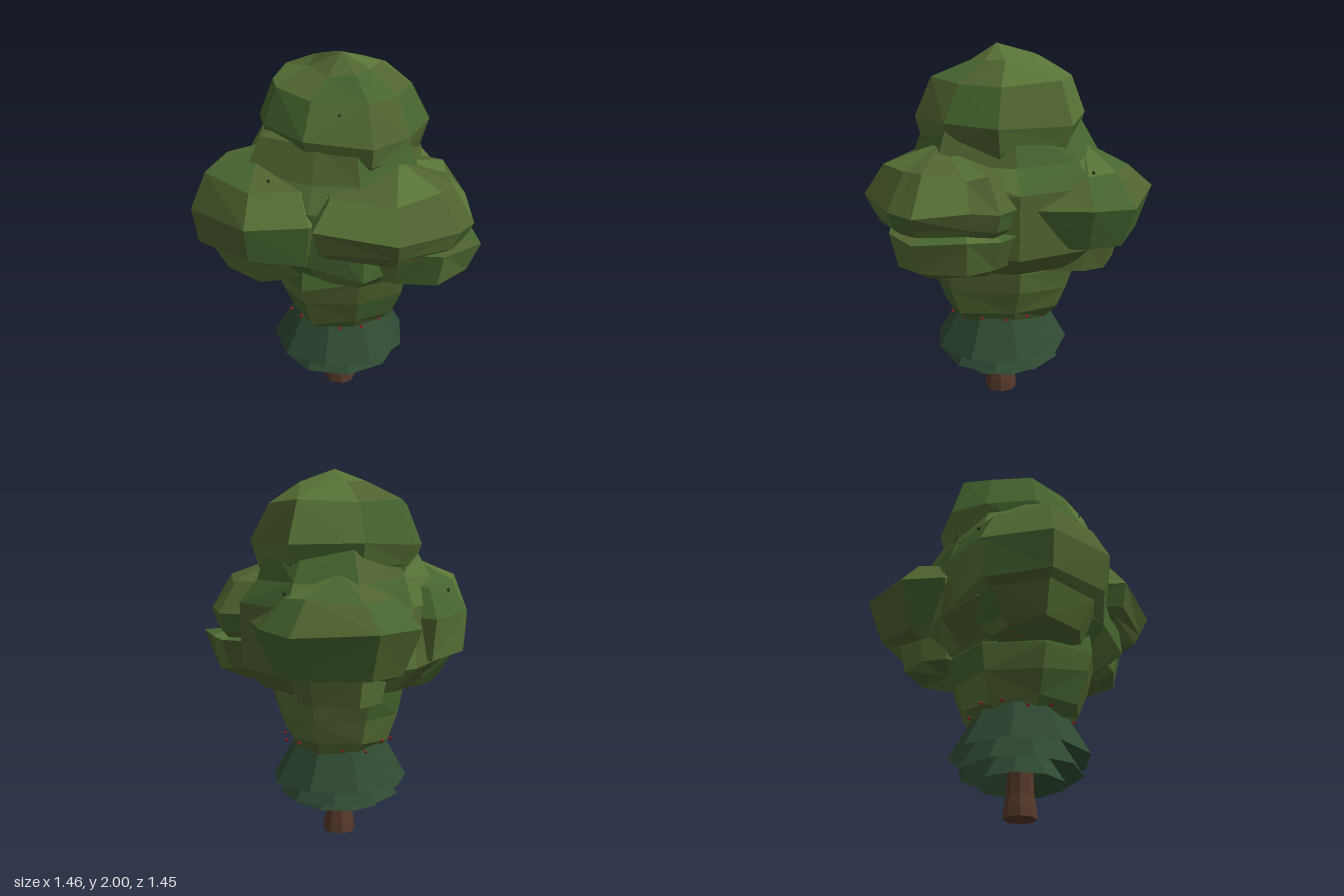
import * as THREE from 'three';

const mat = (color, side = THREE.FrontSide) =>
  new THREE.MeshStandardMaterial({ color, flatShading: true, side });
const leafMats = [mat(0x587236), mat(0x46652f), mat(0x50632f)];
const skirtMat = mat(0x2f4a33, THREE.DoubleSide);
const barkMat = mat(0x56392a, THREE.DoubleSide);
const berryMat = mat(0x8a1f1f);
const budMat = mat(0x26361c);

// Small seeded generator for the facet irregularity
let seed = 7;
const rnd = () => {
  seed = (seed * 16807) % 2147483647;
  return seed / 2147483647;
};

// Faceted leaf mass: a plan outline scaled per ring [y, scale], closed by an apex and a flat base
function leafMass(name, [cx, cz], outline, rings, [ax, ay, az]) {
  const n = outline.length;
  const grid = rings.map(([y, s], k) => outline.map(([x, z]) => {
    const j = s >= 1 ? 1 : s * (0.96 + 0.08 * rnd());
    const dy = k === 0 ? 0 : (rnd() - 0.5) * 0.05;
    return [cx + (x - cx) * j, y + dy, cz + (z - cz) * j];
  }));
  const pos = [];
  const geo = new THREE.BufferGeometry();
  const face = (...corners) => {
    geo.addGroup(pos.length / 3, corners.length, Math.floor(rnd() * 3));
    corners.forEach((p) => pos.push(...p));
  };
  const top = grid[grid.length - 1];
  const base = [cx, rings[0][0], cz];
  for (let i = 0; i < n; i++) {
    const j = (i + 1) % n;
    for (let k = 0; k < grid.length - 1; k++) {
      const a = grid[k][i], b = grid[k][j], c = grid[k + 1][j], d = grid[k + 1][i];
      if ((i + k) % 2) face(a, d, b, b, d, c);
      else face(a, d, c, a, c, b);
    }
    face(top[i], [ax, ay, az], top[j]);
    face(grid[0][i], grid[0][j], base);
  }
  geo.setAttribute('position', new THREE.Float32BufferAttribute(pos, 3));
  geo.computeVertexNormals();
  const mesh = new THREE.Mesh(geo, leafMats);
  mesh.name = name;
  return mesh;
}

// Tapered stick between two points
function stick(name, from, to, r0, r1) {
  const a = new THREE.Vector3(...from), b = new THREE.Vector3(...to);
  const dir = b.clone().sub(a);
  const mesh = new THREE.Mesh(new THREE.CylinderGeometry(r1, r0, dir.length(), 5), barkMat);
  mesh.position.copy(a).add(b).multiplyScalar(0.5);
  mesh.quaternion.setFromUnitVectors(new THREE.Vector3(0, 1, 0), dir.normalize());
  mesh.name = name;
  return mesh;
}

export function createModel() {
  const tree = new THREE.Group();
  tree.name = 'tree';
  const X = -0.085, Z = 0.038;

  // Trunk with a flared foot
  const profile = [[0, 0], [0.088, 0], [0.085, 0.05], [0.072, 0.12], [0.068, 0.2], [0.06, 0.9]];
  const trunk = new THREE.Mesh(
    new THREE.LatheGeometry(profile.map(([r, y]) => new THREE.Vector2(r, y)), 8), barkMat);
  trunk.position.set(X, 0, Z);
  trunk.name = 'trunk';
  tree.add(trunk);

  // Three open skirts around the trunk: bottom y, top y, bottom radius, top radius
  [[0.31, 0.6, 0.375, 0.21], [0.23, 0.46, 0.33, 0.19], [0.175, 0.36, 0.238, 0.12]]
    .forEach(([y0, y1, r0, r1], i) => {
      const skirt = new THREE.Mesh(
        new THREE.CylinderGeometry(r1, r0, y1 - y0, 9, 1, true), skirtMat);
      skirt.position.set(X, (y0 + y1) / 2, Z);
      skirt.rotation.y = -0.2 - i * 0.35;
      skirt.name = 'skirt' + (i + 1);
      tree.add(skirt);
    });

  // Leaf masses: cup over the skirts, broad middle, side lobes and the crown
  tree.add(
    leafMass('lowerFoliage', [-0.07, 0.03],
      [[0.36, 0], [0.25, 0.26], [0.02, 0.46], [-0.24, 0.38], [-0.44, 0.12],
        [-0.42, -0.18], [-0.2, -0.4], [0.1, -0.29]],
      [[0.5, 0.64], [0.56, 0.76], [0.7, 0.9], [0.83, 1], [0.92, 0.95]],
      [-0.06, 1.1, 0]),
    leafMass('middleFoliage', [-0.08, 0.02],
      [[0.5, 0], [0.37, 0.37], [0.1, 0.48], [-0.35, 0.6], [-0.6, 0.25],
        [-0.6, -0.02], [-0.5, -0.4], [-0.15, -0.54], [0.24, -0.41]],
      [[0.84, 0.76], [0.97, 1], [1.28, 0.98], [1.43, 0.86], [1.62, 0.7]],
      [-0.06, 1.75, 0]),
    leafMass('frontFoliage', [-0.28, 0.34],
      [[0.16, 0.34], [0.12, 0.5], [-0.12, 0.72], [-0.52, 0.71], [-0.69, 0.37],
        [-0.66, 0.08], [-0.3, -0.05], [0.05, 0.1]],
      [[0.83, 0.48], [0.86, 0.6], [0.99, 0.78], [1.01, 0.92], [1.22, 1], [1.4, 0.78]],
      [-0.33, 1.53, 0.37]),
    leafMass('leftFoliageUpper', [0.26, 0.05],
      [[0.72, 0.05], [0.6, 0.38], [0.2, 0.56], [0, 0.35], [-0.1, 0],
        [0.05, -0.38], [0.39, -0.42], [0.5, -0.32], [0.7, -0.11]],
      [[1.08, 0.8], [1.14, 0.93], [1.23, 1], [1.4, 0.77]],
      [0.34, 1.52, 0.06]),
    leafMass('leftFoliageLower', [0.28, -0.03],
      [[0.67, 0.1], [0.5, 0.26], [0.17, 0.4], [0, 0.2],
        [0.05, -0.36], [0.37, -0.42], [0.52, -0.32], [0.73, -0.14]],
      [[0.87, 0.6], [0.92, 0.86], [1.09, 1], [1.13, 0.7]],
      [0.3, 1.16, 0]),
    leafMass('backFoliage', [-0.3, -0.3],
      [[0.2, -0.2], [0.1, 0.05], [-0.25, 0.1], [-0.6, 0], [-0.73, -0.2],
        [-0.69, -0.54], [-0.3, -0.73], [-0.06, -0.65], [0.2, -0.4]],
      [[0.82, 0.52], [0.96, 0.58], [0.98, 0.8], [1.19, 1], [1.35, 0.7]],
      [-0.34, 1.48, -0.34]),
    leafMass('topFoliage', [-0.09, -0.02],
      [[0.37, 0], [0.34, 0.26], [0, 0.4], [-0.3, 0.37], [-0.5, 0.2],
        [-0.57, 0], [-0.43, -0.26], [-0.1, -0.46], [0.27, -0.29]],
      [[1.42, 0.84], [1.51, 0.93], [1.62, 1], [1.82, 0.8], [1.91, 0.4]],
      [-0.05, 2, 0.04]),
  );

  // Branches reaching from the trunk into the leaf masses
  [[0.35, 1.0, 0.1], [0.4, 1.0, -0.15], [-0.3, 1.0, 0.4], [-0.42, 1.0, 0.25],
    [-0.35, 1.0, -0.4], [-0.15, 1.0, -0.45], [-0.06, 1.6, 0]]
    .forEach((tip, i) =>
      tree.add(stick('branch' + (i + 1), [X, 0.62, Z], tip, 0.035, 0.012)));

  // Berries hanging around the neck above the skirts
  const berryGeo = new THREE.OctahedronGeometry(0.012);
  for (let i = 0; i < 14; i++) {
    const a = (i / 14) * Math.PI * 2, r = 0.27 + 0.03 * rnd();
    const berry = new THREE.Mesh(berryGeo, berryMat);
    berry.position.set(-0.07 + r * Math.cos(a), 0.5 + 0.05 * rnd(), Z + r * Math.sin(a));
    berry.name = 'berry' + (i + 1);
    tree.add(berry);
  }

  // Small dark buds sitting on the leaves
  [[-0.62, 1.36, 0.28], [-0.12, 1.43, 0.53], [0.14, 1.77, 0.28], [-0.15, 1.38, -0.56],
    [-0.31, 0.84, 0.45]]
    .forEach((p, i) => {
      const bud = new THREE.Mesh(new THREE.OctahedronGeometry(0.012), budMat);
      bud.position.set(...p);
      bud.name = 'bud' + (i + 1);
      tree.add(bud);
    });

  return tree;
}
